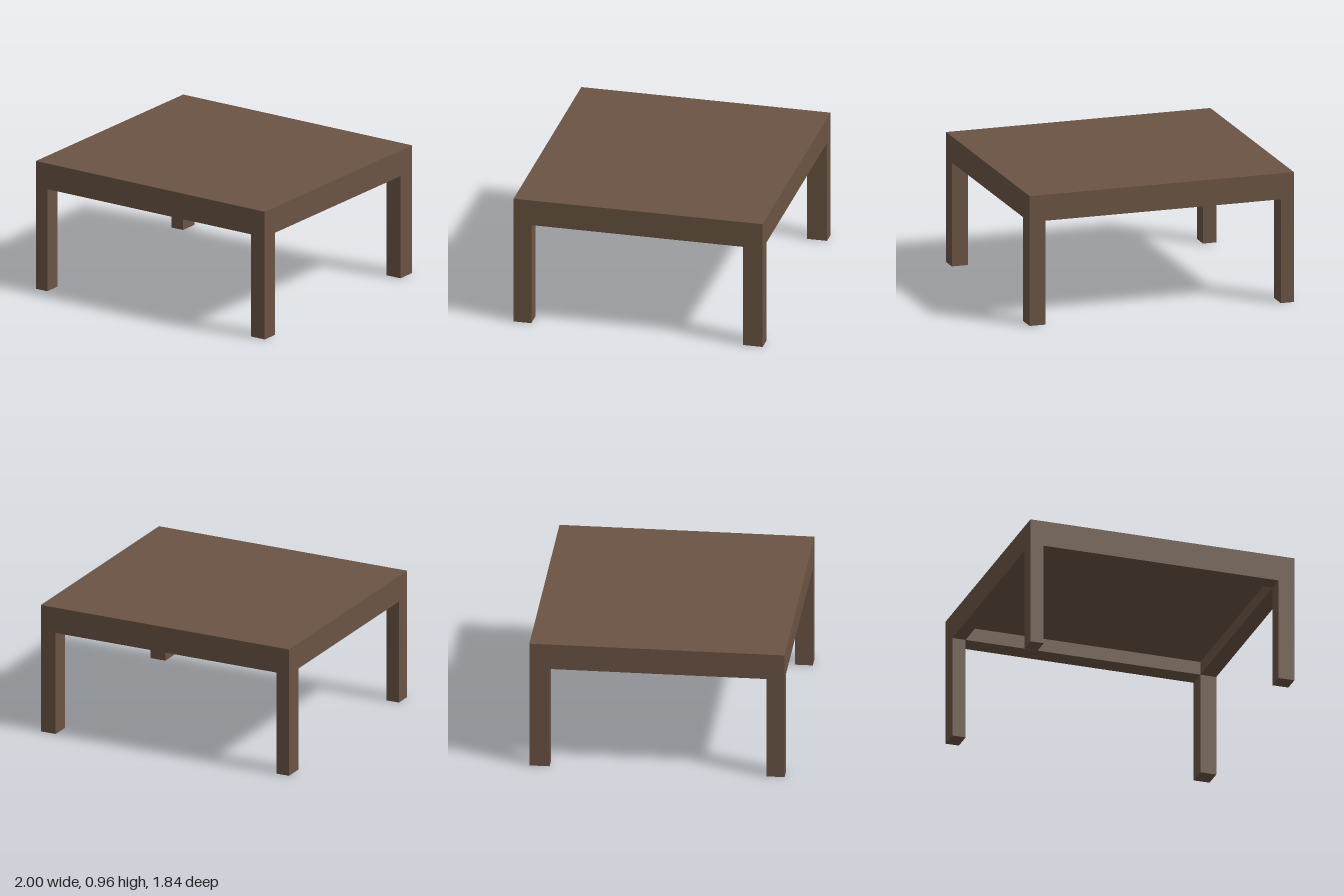
import * as THREE from 'three';

export function createModel() {
  const wood = new THREE.MeshStandardMaterial({ color: 0x6b5443 });
  wood.name = 'brown wood';
  const table = new THREE.Group();
  table.name = 'table';

  // Outer edges, inner edges and heights
  const X = 1, Z = 0.918;
  const left = 0.88, right = -0.9, front = 0.788, back = -0.772;
  const legTop = 0.77, slabBottom = 0.87, top = 0.963;

  // Box given by its two opposite corners
  function box(name, x0, x1, y0, y1, z0, z1) {
    const mesh = new THREE.Mesh(new THREE.BoxGeometry(x1 - x0, y1 - y0, z1 - z0), wood);
    mesh.position.set((x0 + x1) / 2, (y0 + y1) / 2, (z0 + z1) / 2);
    mesh.name = name;
    table.add(mesh);
  }

  box('tableTop', -X, X, slabBottom, top, -Z, Z);

  // Apron frame, open in the middle; shape y becomes -z once laid flat
  const rect = (x0, x1, z0, z1) => [[x0, -z1], [x1, -z1], [x1, -z0], [x0, -z0]]
    .map(([x, y]) => new THREE.Vector2(x, y));
  const frame = new THREE.Shape(rect(-X, X, -Z, Z));
  frame.holes.push(new THREE.Path(rect(right, left, back, front).reverse()));
  const apron = new THREE.Mesh(
    new THREE.ExtrudeGeometry(frame, { depth: slabBottom - legTop, bevelEnabled: false }), wood);
  apron.rotation.x = -Math.PI / 2;
  apron.position.y = legTop;
  apron.name = 'apron';
  table.add(apron);

  // Corner legs, flush with the apron inside and out
  for (const [side, x0, x1] of [['Left', left, X], ['Right', -X, right]]) {
    box('front' + side + 'Leg', x0, x1, 0, legTop, front, Z);
    box('back' + side + 'Leg', x0, x1, 0, legTop, -Z, back);
  }
  return table;
}
